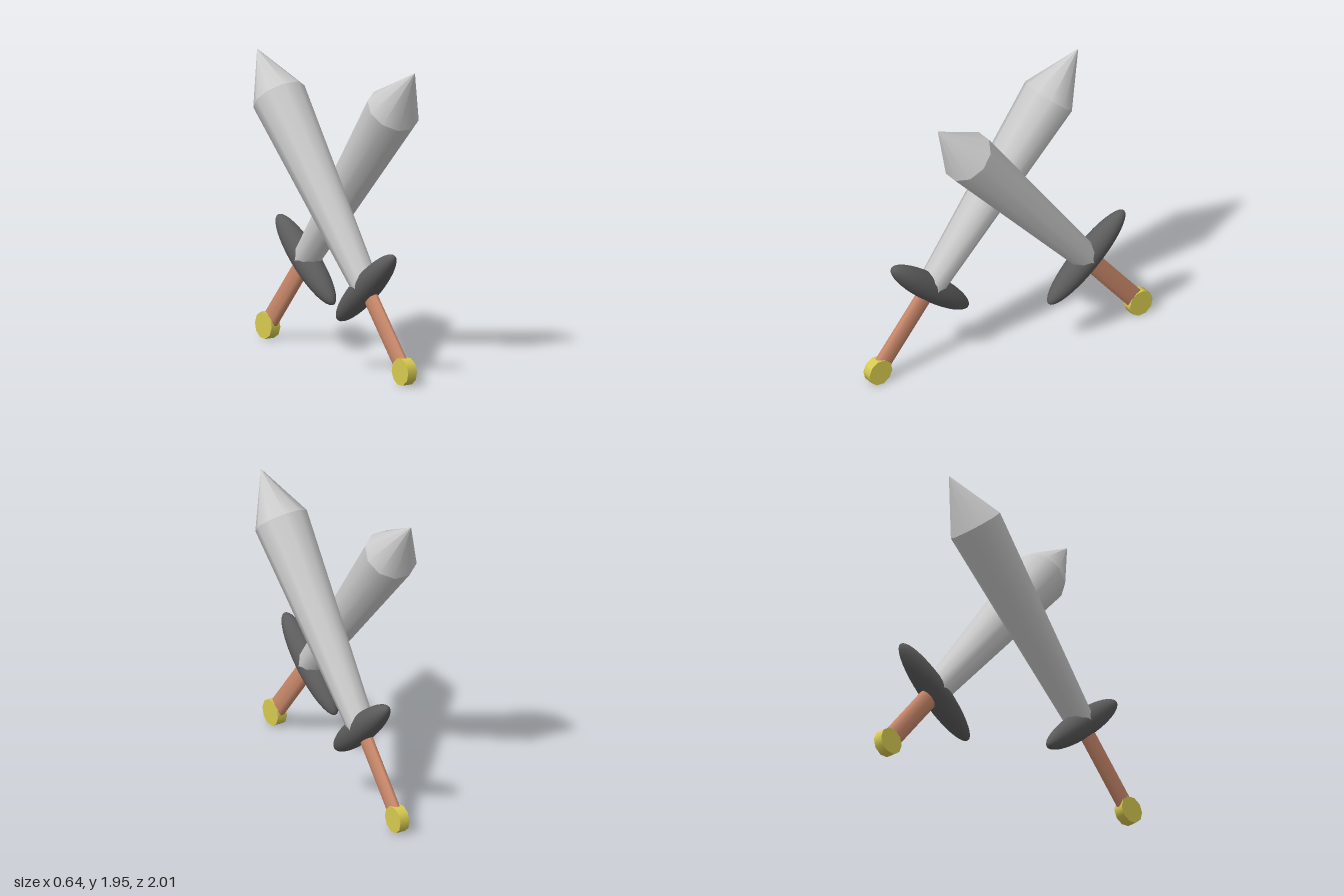
import * as THREE from 'three';

const steel = new THREE.MeshStandardMaterial({ color: 0xcccccc });
const iron = new THREE.MeshStandardMaterial({ color: 0x5c5c5c });
const leather = new THREE.MeshStandardMaterial({ color: 0xcc8a6c });
const brass = new THREE.MeshStandardMaterial({ color: 0xd8cb50 });

const SIDES = 10;
const BLADE = 1.442;  // guard centre to the shoulder of the point
const POINT = 0.36;
const GRIP = 0.63;    // guard centre to pommel centre

function part(name, geometry, material) {
  const mesh = new THREE.Mesh(geometry, material);
  mesh.name = name;
  return mesh;
}

// Upright ten-sided cylinder with corners on +x and -x, standing from y0 to y0 + height
function column(top, bottom, height, y0) {
  return new THREE.CylinderGeometry(top, bottom, height, SIDES)
    .rotateY(Math.PI / 2)
    .translate(0, y0 + height / 2, 0);
}

// One sword pointing up, with the centre of its guard at the origin
function makeSword(name) {
  const sword = new THREE.Group();
  sword.name = name;

  // Blade widens towards the pointed end
  sword.add(part('blade', column(0.178, 0.09, BLADE, 0), steel));
  const point = new THREE.ConeGeometry(0.178, POINT, SIDES)
    .rotateY(Math.PI / 2)
    .translate(0, BLADE + POINT / 2, 0);
  sword.add(part('bladePoint', point, steel));

  // Long ellipsoid guard
  const guard = new THREE.SphereGeometry(1, 32, 20)
    .rotateX(Math.PI / 2)
    .scale(0.09, 0.09, 0.384);
  sword.add(part('guard', guard, iron));

  // Flattened grip
  const grip = column(0.067, 0.067, GRIP, -GRIP).scale(0.5, 1, 1);
  sword.add(part('grip', grip, leather));

  // Disc pommel lying across the sword
  const pommel = new THREE.CylinderGeometry(0.089, 0.089, 0.07, SIDES)
    .rotateZ(Math.PI / 2)
    .translate(0, -GRIP, 0);
  sword.add(part('pommel', pommel, brass));

  sword.position.set(0.1425, 0.572, -0.51);
  sword.rotation.x = THREE.MathUtils.degToRad(40);
  return sword;
}

export function createModel() {
  const model = new THREE.Group();
  model.name = 'crossedSwords';
  model.add(makeSword('leftSword'));

  // The second sword is the first turned half way round the vertical axis
  const turned = new THREE.Group();
  turned.name = 'rightSwordMount';
  turned.rotation.y = Math.PI;
  turned.add(makeSword('rightSword'));
  model.add(turned);
  return model;
}
